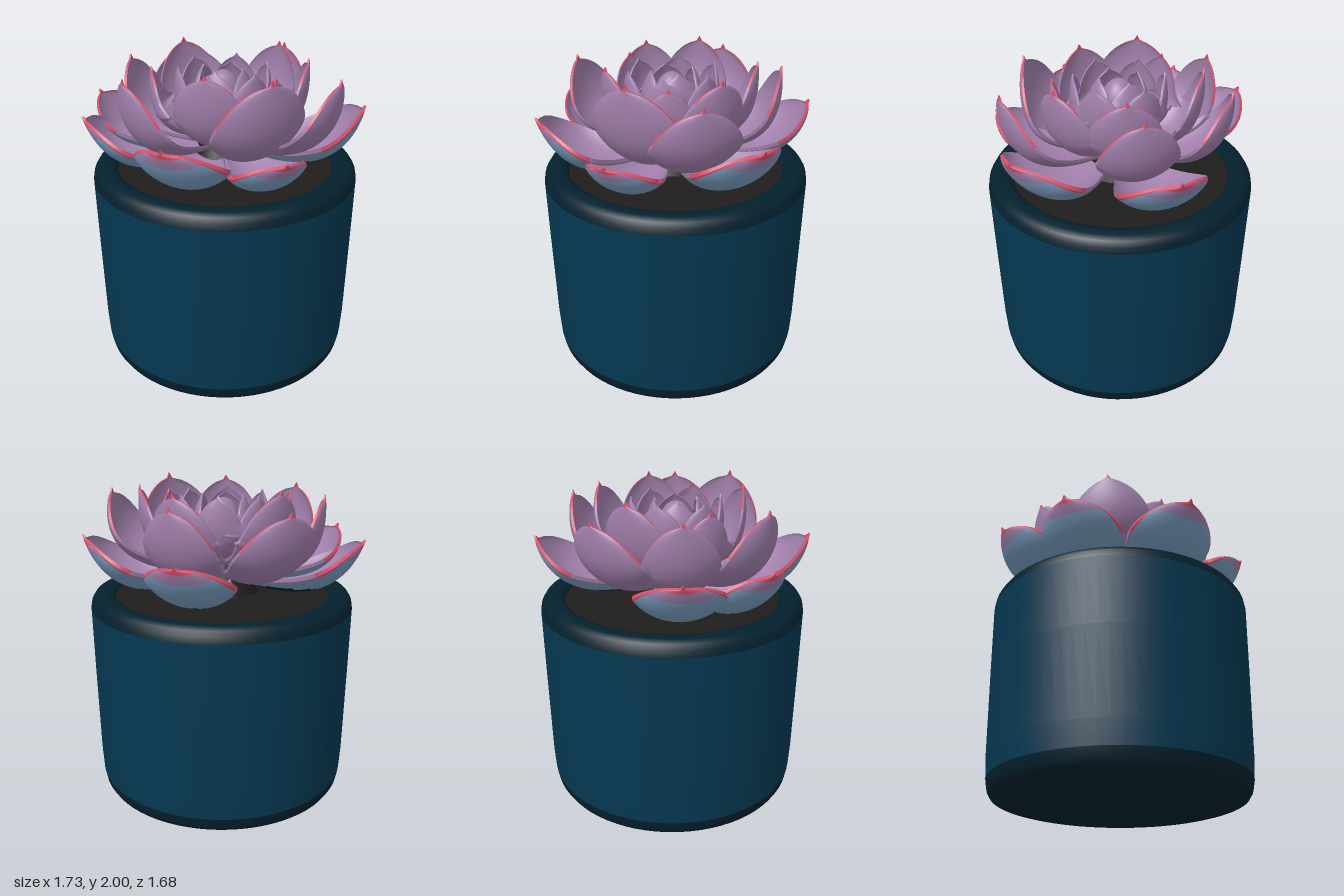
import * as THREE from 'three';

const mat = (name, color) => {
  const m = new THREE.MeshStandardMaterial({ color });
  m.name = name;
  return m;
};

const CENTRE = new THREE.Vector2(-0.02, 0.02); // rosette axis in x, z
const ROWS = 32, COLS = 20;

// Half width of a petal at t along its length: a blunt round end with a small pointed tip
function halfWidth(t, w) {
  const point = (1 - t) * 0.6;
  if (t < 0.58) return w / 2 * (0.4 + 0.6 * Math.sin(Math.PI / 2 * t / 0.58));
  const u = (t - 0.58) / 0.39;
  return Math.max(point, u < 1 ? w / 2 * Math.pow(1 - u ** 2.4, 0.5) : 0);
}

// Cupped petal: a curved midline swept with arc cross-sections, closed by an edge strip
function petalGeometry(ring, degrees, tipR, width = ring.width, tipY = ring.y) {
  const angle = THREE.MathUtils.degToRad(degrees), c = Math.cos(angle), s = Math.sin(angle);
  const { cup, thick } = ring;
  const mid = new THREE.QuadraticBezierCurve(
    new THREE.Vector2(...ring.base), new THREE.Vector2(...ring.control(tipR)),
    new THREE.Vector2(tipR, tipY));

  const pos = [], lists = [];
  const along = i => 1 - Math.pow(1 - i / ROWS, 1.7);
  const across = j => Math.sin((j / COLS - 0.5) * Math.PI);
  const vertex = (i, j, inner) => {
    const t = along(i), a = across(j) * cup, w = halfWidth(t, width);
    const p = mid.getPoint(t), d = mid.getTangent(t);
    const lift = w * (1 - 0.4 * t * t) * (1 - Math.cos(a)) / Math.sin(cup)
      + (inner ? thick * (1 - 0.5 * t ** 6) : 0);
    const side = w * Math.sin(a) / Math.sin(cup);
    const r = p.x - d.y * lift, h = p.y + d.x * lift;
    pos.push(CENTRE.x + c * r - s * side, h, CENTRE.y + s * r + c * side);
  };
  const quad = (m, p, q, r, t) => (lists[m] ??= []).push(p, q, r, p, r, t);

  // Outer and inner faces
  for (const inner of [false, true]) {
    const start = pos.length / 3;
    for (let i = 0; i <= ROWS; i++) for (let j = 0; j <= COLS; j++) vertex(i, j, inner);
    for (let i = 0; i < ROWS; i++) for (let j = 0; j < COLS; j++) {
      const p = start + i * (COLS + 1) + j, q = p + 1, r = q + COLS + 1, t = p + COLS + 1;
      const m = ring.paint(inner, along(i + 0.5), Math.abs(across(j + 0.5)), pos[p * 3 + 1]);
      if (inner) quad(m, p, q, r, t);
      else quad(m, p, t, r, q);
    }
  }
  // Edge strips, red towards the tip
  for (const j of [0, COLS]) {
    const start = pos.length / 3;
    for (let i = 0; i <= ROWS; i++) { vertex(i, j, false); vertex(i, j, true); }
    for (let i = 0; i < ROWS; i++) {
      const o = start + i * 2, m = along(i) > ring.redEdge ? 1 : 0;
      if (j) quad(m, o, o + 2, o + 3, o + 1);
      else quad(m, o, o + 1, o + 3, o + 2);
    }
  }

  const geo = new THREE.BufferGeometry();
  geo.setAttribute('position', new THREE.Float32BufferAttribute(pos, 3));
  const index = [];
  lists.forEach((list, m) => {
    geo.addGroup(index.length, list.length, m);
    for (const v of list) index.push(v);
  });
  geo.setIndex(index);
  geo.computeVertexNormals();
  return geo;
}

// Petal faces: 0 mauve, 1 red, 2 blue, 3 dark
const paintOuter = (inner, t, s, y) => {
  if (inner) return t > 0.955 ? 1 : 0;
  if (y < 1.365) return 3;
  if (t > 0.94 || (s > 0.97 && t > 0.6)) return 1;
  return t < 0.86 && s < 0.95 ? 2 : 0;
};
const paintInner = (inner, t) => (t > 0.965 ? 1 : 0);
const paintPlain = () => 0;

// Evenly turned petals: angle and tip radius
const whorl = (count, first, radius) =>
  Array.from({ length: count }, (_, i) => [first + i * 360 / count, radius]);

// Rings of petals, each petal given as angle, tip radius and, where it differs, width and height
const RINGS = [
  { name: 'outerPetal', base: [0.18, 1.36], control: r => [r * 0.84, 1.215], cup: 0.95, thick: 0.025,
    y: 1.67, width: 0.54, redEdge: 0.55, paint: paintOuter,
    petals: [[1, 0.885, 0.6, 1.69], [63, 0.83, 0.46, 1.6], [111, 0.85, 0.57, 1.69],
      [165, 0.87], [201, 0.9], [296, 0.9]] },
  { name: 'middlePetal', base: [0.12, 1.42], control: r => [r + 0.07, 1.37], cup: 0.85, thick: 0.02,
    y: 1.94, width: 0.54, redEdge: 0.72, paint: paintInner,
    petals: [[23, 0.75], [61, 0.6, 0.6, 2.0], [149, 0.66], [200, 0.64, 0.46],
      [246, 0.7, 0.57, 1.91], [306, 0.67, 0.48]] },
  { name: 'innerPetal', base: [0.08, 1.48], control: r => [r + 0.07, 1.46], cup: 0.9, thick: 0.018,
    y: 1.99, width: 0.45, redEdge: 0.88, paint: paintInner,
    petals: [[3, 0.52], [39, 0.41, 0.34, 1.93], [102, 0.43], [177, 0.44, 0.32, 1.93],
      [237, 0.51, 0.45, 2.0], [313, 0.52]] },
  { name: 'heartPetal', base: [0.05, 1.52], control: r => [r + 0.09, 1.55], cup: 0.95, thick: 0.016,
    y: 1.94, width: 0.31, redEdge: 1, paint: paintPlain, petals: whorl(6, 46, 0.28) },
  { name: 'budPetal', base: [0.03, 1.56], control: r => [r + 0.15, 1.66], cup: 1.0, thick: 0.014,
    y: 1.93, width: 0.27, redEdge: 1, paint: paintPlain, petals: whorl(4, 20, 0.13) },
];

export function createModel() {
  const root = new THREE.Group();
  root.name = 'pottedSucculent';
  const mauve = mat('mauve petal', 0xa07faa), red = mat('red tip', 0xd4506a);
  const blue = mat('blue underside', 0x7a9dc0), dark = mat('dark teal', 0x04212d);
  const teal = mat('teal glaze', 0x053851), soilMat = mat('soil', 0x1f1d1c);

  const add = (name, geo, material, parent = root) => {
    const mesh = new THREE.Mesh(geo, material);
    mesh.name = name;
    parent.add(mesh);
    return mesh;
  };
  const lathe = pts => new THREE.LatheGeometry(pts.map(p => new THREE.Vector2(...p)), 72);

  // Pot
  const pot = new THREE.Group();
  pot.name = 'pot';
  pot.position.x = -0.01;
  root.add(pot);
  add('potFoot', lathe([[0, 0], [0.75, 0], [0.785, 0.01], [0.803, 0.04], [0.815, 0.1]]), dark, pot);
  add('potBody', lathe([[0.815, 0.1], [0.824, 0.25], [0.835, 0.8], [0.842, 1.23]]), teal, pot);
  add('potRim', lathe([[0.842, 1.23], [0.835, 1.27], [0.815, 1.302], [0.78, 1.32], [0.73, 1.322],
    [0.695, 1.31], [0.68, 1.27]]), dark, pot);
  add('soil', lathe([[0.69, 1.285], [0.4, 1.3], [0, 1.31]]), soilMat, pot);

  // Short stem under the rosette
  const stem = add('stem', new THREE.CylinderGeometry(0.12, 0.24, 0.26, 24), soilMat);
  stem.position.set(CENTRE.x, 1.41, CENTRE.y);

  // Rosette
  const rosette = new THREE.Group();
  rosette.name = 'rosette';
  root.add(rosette);
  for (const ring of RINGS) {
    for (const petal of ring.petals) {
      add(ring.name, petalGeometry(ring, ...petal), [mauve, red, blue, dark], rosette);
    }
  }

  // Closed bud in the heart of the rosette
  const bud = add('bud', new THREE.SphereGeometry(0.11, 28, 20), mauve, rosette);
  bud.scale.y = 1.5;
  bud.position.set(CENTRE.x, 1.74, CENTRE.y);
  return root;
}
